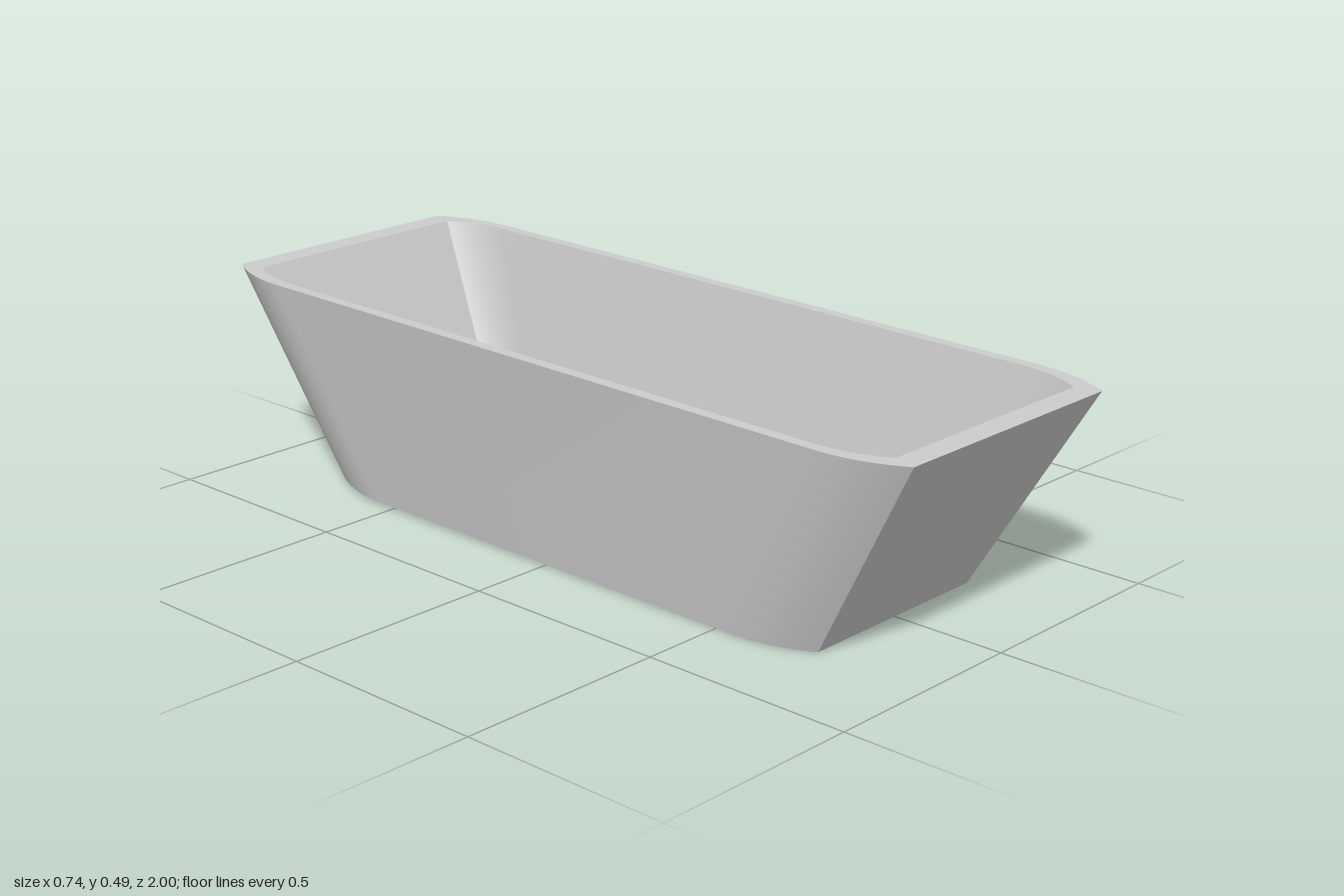
import * as THREE from 'three';
import { toCreasedNormals } from 'three/addons/utils/BufferGeometryUtils.js';

const STEPS = 10;            // segments per rounded corner
const TILT = 0.0065;         // the tub rises slightly towards the back

// Closed outline: flat ends of half-width e, sides of half-width w,
// joined by shallow arcs that leave a crease at each end panel.
function ring({ w, e, l, y }) {
  const start = THREE.MathUtils.degToRad(58);
  const radius = (w - e) / (1 - Math.sin(start));
  const corner = [];
  for (let i = 0; i <= STEPS; i++) {
    const a = start + (Math.PI / 2 - start) * i / STEPS;
    corner.push([
      e + radius * (Math.sin(a) - Math.sin(start)),
      l - radius * (Math.cos(start) - Math.cos(a)),
    ]);
  }
  const back = [...corner].reverse();
  return [
    ...corner,
    ...back.map(([x, z]) => [x, -z]),
    ...corner.map(([x, z]) => [-x, -z]),
    ...back.map(([x, z]) => [-x, z]),
  ].map(([x, z]) => [x, y + TILT * (0.73 - z), z]);
}

// Band of quads between two rings
function band(a, b) {
  const p = [];
  a.forEach((_, i) => {
    const j = (i + 1) % a.length;
    p.push(...a[i], ...a[j], ...b[j], ...a[i], ...b[j], ...b[i]);
  });
  return p;
}

// Flat fan closing a ring
function cap(r, y, up) {
  const centre = [0, y + TILT * 0.73, 0];
  const p = [];
  r.forEach((v, i) => {
    const n = r[(i + 1) % r.length];
    p.push(...(up ? v : n), ...(up ? n : v), ...centre);
  });
  return p;
}

export function createModel() {
  const group = new THREE.Group();
  group.name = 'bathtub';
  const material = new THREE.MeshStandardMaterial({ color: 0xcccccc });

  const add = (name, positions) => {
    const geometry = new THREE.BufferGeometry();
    geometry.setAttribute('position', new THREE.Float32BufferAttribute(positions, 3));
    const mesh = new THREE.Mesh(toCreasedNormals(geometry, Math.PI / 6), material);
    mesh.name = name;
    group.add(mesh);
  };

  const FLOOR = 0.04;
  const outerBase = ring({ w: 0.305, e: 0.25, l: 0.73, y: 0 });
  const outerRim = ring({ w: 0.368, e: 0.312, l: 1, y: 0.482 });
  const innerRim = ring({ w: 0.34, e: 0.295, l: 0.943, y: 0.482 });
  const innerFloor = ring({ w: 0.253, e: 0.225, l: 0.705, y: FLOOR });

  add('outerWall', band(outerBase, outerRim));
  add('rim', band(outerRim, innerRim));
  add('innerWall', band(innerRim, innerFloor));
  add('basinFloor', cap(innerFloor, FLOOR, true));
  add('underside', cap(outerBase, 0, false));
  return group;
}
